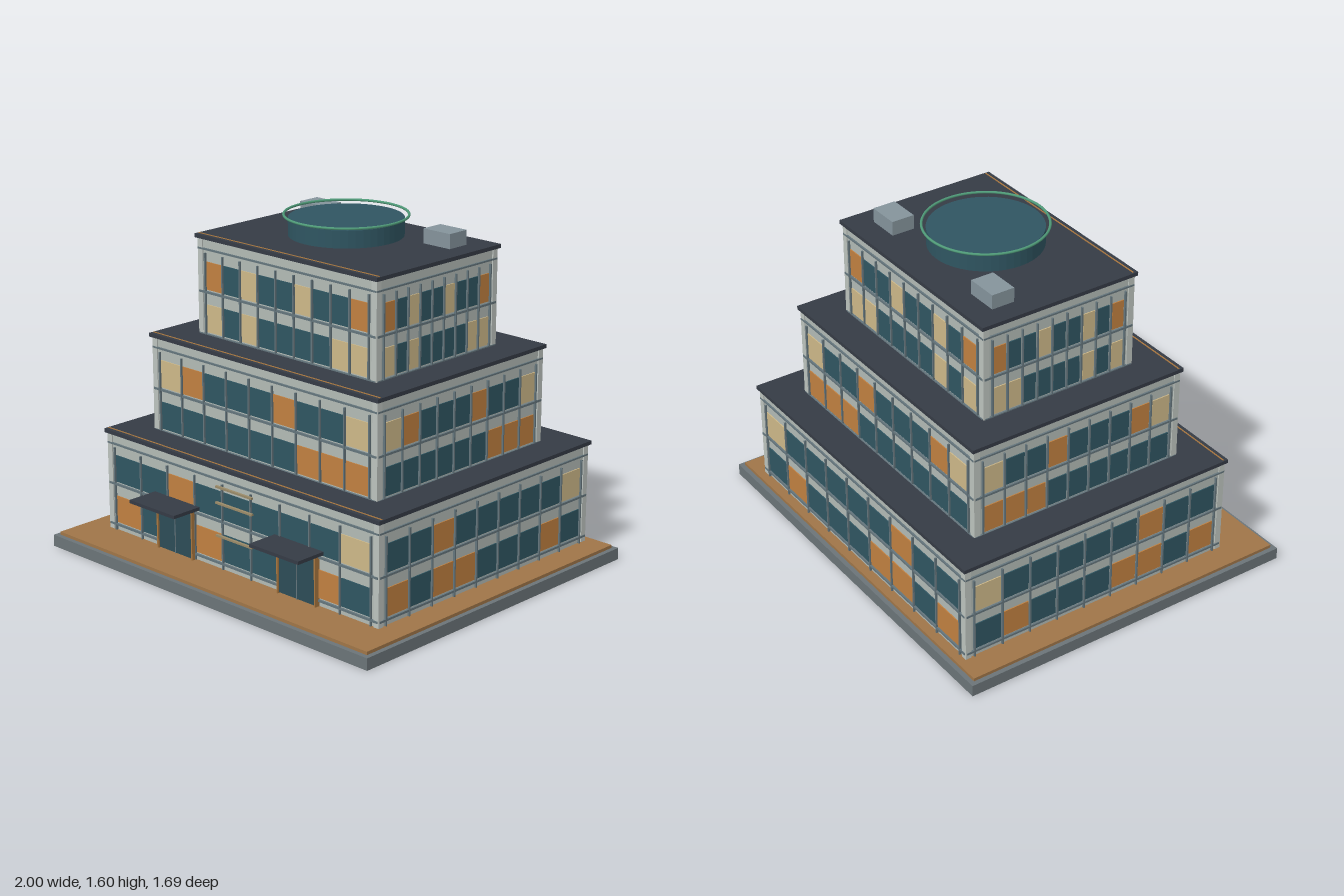
import * as THREE from 'three';

const mat = (color) => new THREE.MeshStandardMaterial({ color, flatShading: true });
const M = {
  wall: mat(0xb2bab5), post: mat(0xbcc3be), bar: mat(0x64757c), roof: mat(0x353b45),
  slab: mat(0x6b7478), paving: mat(0x9f7548), T: mat(0x2f5561), O: mat(0xc08040),
  C: mat(0xcdb888), unit: mat(0x84939b), ring: mat(0x4f9a78), wood: mat(0xa8763f),
  rail: mat(0x9a8a68), door: mat(0x2c4c57),
};
const ZC = -0.08; // the tower sits slightly behind the centre of the plot

function box(parent, name, material, w, h, d, x, y, z) {
  const m = new THREE.Mesh(new THREE.BoxGeometry(w, h, d), material);
  m.name = name;
  m.position.set(x, y, z);
  parent.add(m);
  return m;
}

// One facade in its own plane: +z is outward, x runs along the wall
function facade(name, width, tier, flip) {
  const g = new THREE.Group();
  g.name = name;
  const n = 9, pitch = (width - 0.08) / n;
  const yBars = tier.top - 0.065; // underside of the cornice line
  tier.rows.forEach((row, r) => {
    const y = tier.sill + r * 0.2;
    for (let i = 0; i < n; i++) {
      const x = (i - 4) * pitch * (flip ? -1 : 1);
      box(g, 'window', M[row[i]], pitch - 0.016, 0.13, 0.008, x, y + 0.065, 0.001);
    }
    box(g, 'sillBar', M.bar, width, 0.01, 0.012, 0, y - 0.012, 0.003);
  });
  for (let i = 0; i <= n; i++) {
    box(g, 'mullion', M.bar, 0.007, yBars - tier.base, 0.014, (i - 4.5) * pitch, (yBars + tier.base) / 2, 0.003);
  }
  box(g, 'corniceLine', M.bar, width + 0.008, 0.008, 0.012, 0, tier.top - 0.047, 0.002);
  return g;
}

function buildTier(tier) {
  const g = new THREE.Group();
  const { w, d, base, top } = tier;
  const h = top - base, cy = (top + base) / 2;
  g.name = tier.name;
  box(g, 'wallBlock', M.wall, w, h, d, 0, cy, 0);
  const sides = [
    ['frontFacade', w, d / 2, 0, false], ['rightFacade', d, w / 2, Math.PI / 2, false],
    ['backFacade', w, d / 2, Math.PI, true], ['leftFacade', d, w / 2, -Math.PI / 2, true],
  ];
  for (const [name, width, out, turn, flip] of sides) {
    const f = facade(name, width, tier, flip);
    f.rotation.y = turn;
    f.position.set(Math.sin(turn) * out, 0, Math.cos(turn) * out);
    g.add(f);
  }
  for (const sx of [-1, 1]) for (const sz of [-1, 1]) {
    box(g, 'cornerPost', M.post, 0.03, h, 0.03, sx * (w / 2 - 0.009), cy, sz * (d / 2 - 0.009));
  }
  box(g, 'roofSlab', M.roof, w + 0.032, 0.018, d + 0.032, 0, top + 0.009, 0);
  box(g, 'roofTrim', M.wood, w + 0.02, 0.003, 0.006, 0, top + 0.019, d / 2 - 0.006);
  g.position.z = ZC;
  return g;
}

function buildEntrance(x) {
  const g = new THREE.Group();
  g.name = 'entrance';
  box(g, 'canopy', M.roof, 0.295, 0.016, 0.16, 0, 0.323, 0.695);
  for (const s of [-1, 1]) {
    box(g, 'doorLeaf', M.door, 0.106, 0.225, 0.02, s * 0.055, 0.188, 0.625);
    box(g, 'doorJamb', M.wood, 0.008, 0.245, 0.028, s * 0.114, 0.193, 0.628);
  }
  box(g, 'doorPost', M.bar, 0.005, 0.23, 0.022, 0, 0.188, 0.626);
  box(g, 'doorHead', M.wood, 0.236, 0.01, 0.028, 0, 0.31, 0.628);
  g.position.x = x;
  return g;
}

export function createModel() {
  const model = new THREE.Group();
  model.name = 'steppedOfficeBuilding';

  // Plot
  box(model, 'baseSlab', M.slab, 2, 0.056, 1.69, 0, 0.028, 0);
  box(model, 'paving', M.paving, 1.955, 0.015, 1.645, 0, 0.0635, 0);

  // Three stepped tiers; rows list lower then upper windows (T teal, O orange, C cream)
  const tiers = [
    { name: 'lowerTier', w: 1.7, d: 1.39, base: 0.07, top: 0.541, sill: 0.11, rows: ['OTOOTTTOT', 'TTOTTTTTC'] },
    { name: 'middleTier', w: 1.39, d: 1.082, base: 0.555, top: 1.0, sill: 0.568, rows: ['TTTTTTOOO', 'COTTTOTTC'] },
    { name: 'upperTier', w: 1.09, d: 0.775, base: 1.015, top: 1.465, sill: 1.03, rows: ['CTCTTTTCC', 'OTCTTCTTO'] },
  ];
  for (const t of tiers) model.add(buildTier(t));

  // Entrances and the rails between them
  for (const s of [-1, 1]) model.add(buildEntrance(s * 0.387));
  for (const y of [0.235, 0.39, 0.466]) box(model, 'frontRail', M.rail, 0.23, 0.009, 0.012, 0, y, 0.634);

  // Roof drum with its floating ring, and two plant units
  const cylinder = (name, material, r, h, y) => {
    const m = new THREE.Mesh(new THREE.CylinderGeometry(r, r, h, 48), material);
    m.name = name;
    m.position.set(0, y, ZC);
    model.add(m);
  };
  cylinder('drumPedestal', M.roof, 0.1, 0.03, 1.492);
  cylinder('roofDrum', M.T, 0.261, 0.08, 1.543);
  const ring = new THREE.Mesh(new THREE.TorusGeometry(0.28, 0.006, 8, 64),
    new THREE.MeshStandardMaterial({ color: 0x4f9a78 }));
  ring.name = 'drumRing';
  ring.rotation.x = Math.PI / 2;
  ring.position.set(0, 1.596, ZC);
  model.add(ring);
  for (const s of [-1, 1]) box(model, 'plantUnit', M.unit, 0.155, 0.07, 0.112, s * 0.383, 1.516, -0.31);

  return model;
}
